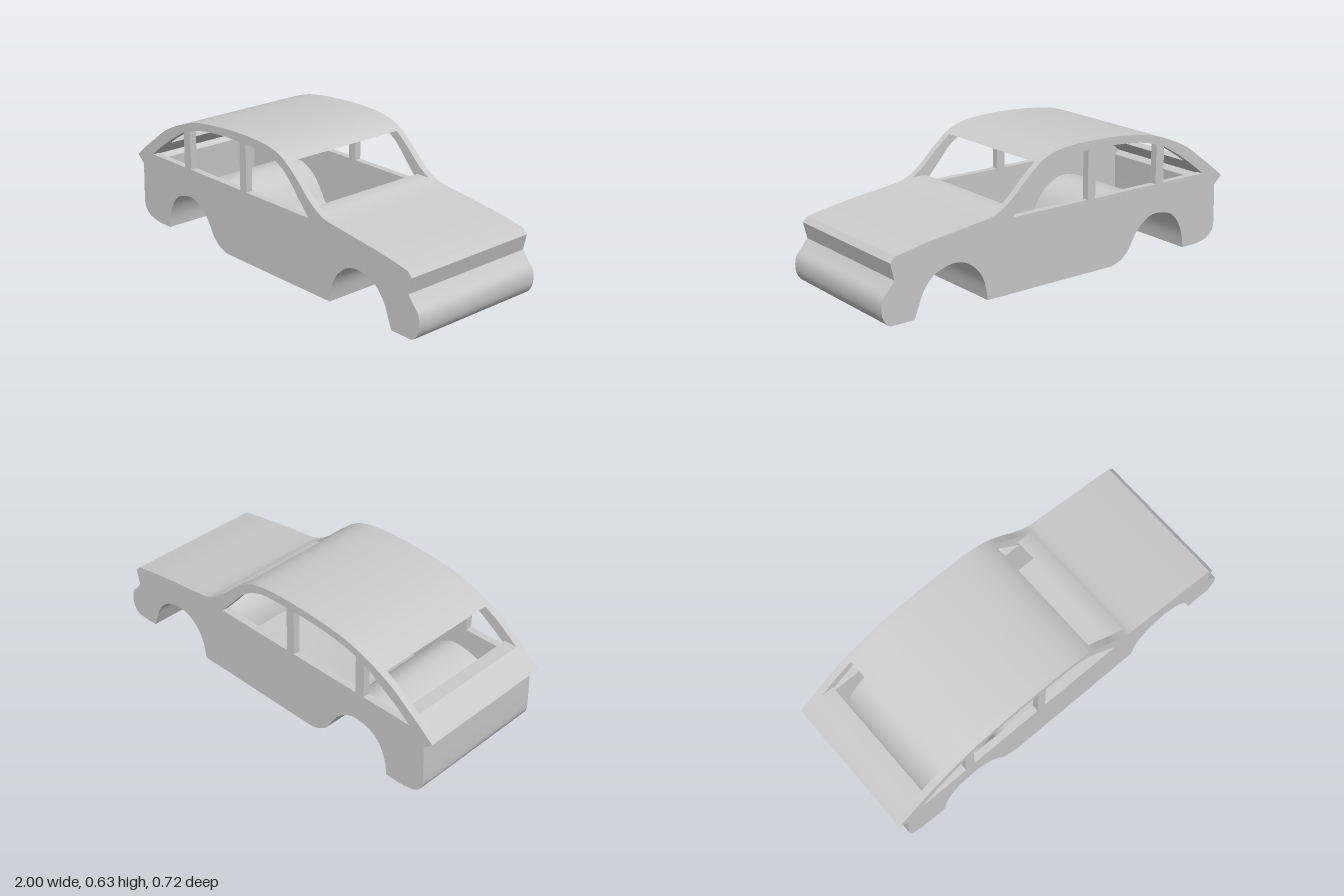
import * as THREE from 'three';
import { toCreasedNormals } from 'three/addons/utils/BufferGeometryUtils.js';

const HALF_WIDTH = 0.362, SIDE = 0.035, WALL = 0.04;
const TOP_SEGMENTS = 320;

// Smooth curve through a few [x, y] pairs
function spline(pairs, segments) {
  return new THREE.SplineCurve(pairs.map(([x, y]) => new THREE.Vector2(x, y))).getSpacedPoints(segments);
}

// Inset of a clockwise outline by a wall thickness, dropping points that fold over in tight bends
function inset(points, distance) {
  const normal = (a, b) => new THREE.Vector2(b.y - a.y, a.x - b.x).normalize();
  const moved = points.map((p, i) => {
    const before = normal(points.at(i - 1), p);
    const after = normal(p, points[(i + 1) % points.length]);
    const mid = before.clone().add(after).normalize();
    const miter = Math.min(1.4, 1 / Math.max(0.5, mid.dot(before)));
    return p.clone().addScaledVector(mid, distance * miter);
  });
  return moved.filter((p) => points.every((q) => p.distanceTo(q) > distance * 0.97));
}

// Clockwise side outline: tail tip, roof, bonnet, nose, underside, tail
function bodyOutline() {
  const top = spline([[-1, 0.325], [-0.95, 0.367], [-0.87, 0.427], [-0.74, 0.517], [-0.57, 0.588],
    [-0.42, 0.619], [-0.2, 0.634], [0.01, 0.627], [0.13, 0.592], [0.225, 0.52], [0.305, 0.445],
    [0.375, 0.397], [0.44, 0.376], [0.6, 0.355], [0.785, 0.33], [0.925, 0.304]], TOP_SEGMENTS);
  const lip = [new THREE.Vector2(0.95, 0.278)];
  const bumper = spline([[0.932, 0.2], [0.96, 0.165], [0.99, 0.13], [1, 0.09], [0.995, 0.045],
    [0.975, 0.012], [0.955, 0]], 16);
  const frontArch = spline([[0.835, 0], [0.815, 0.05], [0.785, 0.12], [0.73, 0.18], [0.655, 0.208],
    [0.6, 0.209], [0.545, 0.19], [0.49, 0.14], [0.46, 0.08], [0.445, 0]], 28);
  const rearArch = spline([[-0.285, 0], [-0.335, 0.016], [-0.385, 0.055], [-0.415, 0.105], [-0.46, 0.165],
    [-0.525, 0.205], [-0.58, 0.21], [-0.66, 0.19], [-0.71, 0.14], [-0.74, 0.07], [-0.75, 0]], 32);
  const tail = spline([[-0.835, 0], [-0.91, 0.015], [-0.955, 0.055], [-0.96, 0.12], [-0.955, 0.285]], 14);
  return [...top, ...lip, ...bumper, ...frontArch, ...rearArch, ...tail];
}

// Side windows: curved top edge closed along the waistline, wound against the outline
function sideWindows() {
  const waist = 0.356;
  const tops = [
    [[-0.605, 0.535], [-0.71, 0.472], [-0.8, 0.41], [-0.87, waist]],
    [[-0.175, 0.593], [-0.3, 0.591], [-0.45, 0.577], [-0.555, 0.552]],
    [[0.305, waist], [0.24, 0.428], [0.145, 0.53], [0.045, 0.58], [-0.04, 0.59], [-0.13, 0.593]],
  ];
  return tops.map((pairs) => {
    const curve = spline(pairs, 20);
    const front = new THREE.Vector2(curve[0].x, waist);
    const rear = new THREE.Vector2(curve.at(-1).x, waist);
    const edge = curve.filter((p) => p.y > waist + 0.001);
    return new THREE.Path([front, ...edge, rear]);
  });
}

export function createModel() {
  const group = new THREE.Group();
  const material = new THREE.MeshStandardMaterial({ color: 0xcccccc });

  function addExtrusion(name, shape, z, depth) {
    const geometry = new THREE.ExtrudeGeometry(shape, { depth, bevelEnabled: false });
    const mesh = new THREE.Mesh(toCreasedNormals(geometry, 0.6), material);
    mesh.position.z = z;
    mesh.name = name;
    group.add(mesh);
  }

  const outer = bodyOutline();
  const inner = inset(outer, WALL);

  // Side panels with window openings
  const panel = new THREE.Shape(outer);
  panel.holes = sideWindows();
  addExtrusion('leftSidePanel', panel, HALF_WIDTH - SIDE, SIDE);
  addExtrusion('rightSidePanel', panel, -HALF_WIDTH, SIDE);

  // Shell between the panels, left open at the windscreen and rear window
  const innerHalf = HALF_WIDTH - SIDE;
  const inRoof = (p) => p.y > (p.x > 0 ? 0.573 : 0.534);
  const roof = [...outer.filter(inRoof), ...inner.filter(inRoof).reverse()];
  addExtrusion('roof', new THREE.Shape(roof), -innerHalf, innerHalf * 2);

  // Bonnet, nose, wheel arches, floor and tail as one continuous strip
  const inLower = (p) => p.y < (p.x > 0 ? 0.4 : 0.411);
  const middle = TOP_SEGMENTS / 2;
  const fromRoof = (points) => [...points.slice(middle), ...points.slice(0, middle)].filter(inLower);
  const lower = [...fromRoof(outer), ...fromRoof(inner).reverse()];
  addExtrusion('lowerBody', new THREE.Shape(lower), -innerHalf, innerHalf * 2);

  return group;
}
